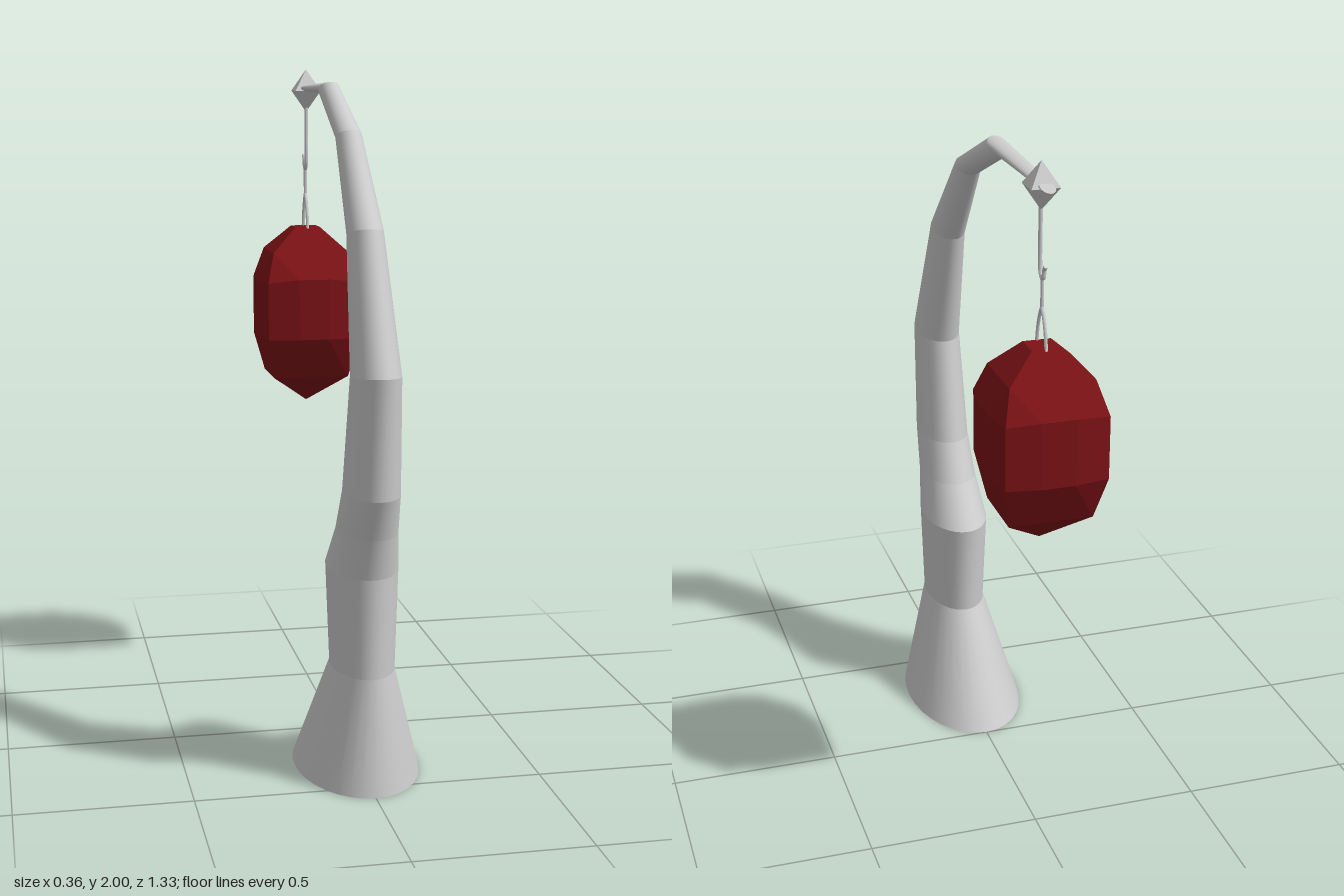
import * as THREE from 'three';
import { ConvexGeometry } from 'three/addons/geometries/ConvexGeometry.js';

const SIDES = 32;
const grey = new THREE.MeshStandardMaterial({ color: 0xcccccc });
const greyFlat = new THREE.MeshStandardMaterial({ color: 0xcccccc, flatShading: true });
const red = new THREE.MeshStandardMaterial({ color: 0x7c1216, flatShading: true });

// Post sections: front edge z, y, back edge z, y, half width
const RINGS = [
  [0.58, 0, 0, 0, 0.18],
  [0.535, 0.33, 0.225, 0.33, 0.09],
  [0.545, 0.62, 0.205, 0.62, 0.1],
  [0.58, 0.74, 0.31, 0.74, 0.085],
  [0.63, 0.86, 0.375, 0.86, 0.078],
  [0.665, 1.2, 0.445, 1.18, 0.068],
  [0.485, 1.58, 0.335, 1.55, 0.05],
  [0.23, 1.835, 0.14, 1.8, 0.037],
  [-0.065, 1.965, -0.165, 1.93, 0.03],
  [-0.5, 1.95, -0.565, 1.933, 0.02],
];

// Points of one elliptical section
function ringPoints([z1, y1, z2, y2, w]) {
  const pts = [];
  for (let i = 0; i < SIDES; i++) {
    const t = (i / SIDES) * Math.PI * 2;
    const c = Math.cos(t) / 2;
    pts.push((Math.sin(t) * w), (y1 + y2) / 2 + c * (y1 - y2), (z1 + z2) / 2 + c * (z1 - z2));
  }
  return pts;
}

// Smooth around each section, with hard edges between sections and at the caps
function postGeometry() {
  const pos = [], index = [];
  for (let s = 0; s < RINGS.length - 1; s++) {
    const base = pos.length / 3;
    pos.push(...ringPoints(RINGS[s]), ...ringPoints(RINGS[s + 1]));
    for (let i = 0; i < SIDES; i++) {
      const a = base + i, b = base + ((i + 1) % SIDES);
      index.push(a, b, b + SIDES, a, b + SIDES, a + SIDES);
    }
  }
  for (const [ring, top] of [[RINGS[0], false], [RINGS[RINGS.length - 1], true]]) {
    const base = pos.length / 3;
    pos.push(...ringPoints(ring));
    for (let i = 1; i < SIDES - 1; i++) {
      if (top) index.push(base, base + i, base + i + 1);
      else index.push(base, base + i + 1, base + i);
    }
  }
  const geo = new THREE.BufferGeometry();
  geo.setAttribute('position', new THREE.Float32BufferAttribute(pos, 3));
  geo.setIndex(index);
  geo.computeVertexNormals();
  return geo;
}

// Faceted lantern, one quarter of its corners mirrored over x and z
function lanternGeometry() {
  const quarter = [
    [0.04, 1.505, 0.04],
    [0.12, 1.43, 0.1],
    [0.163, 1.34, 0.05], [0.05, 1.35, 0.165],
    [0.145, 1.34, 0.148], [0.145, 1.16, 0.148],
    [0.163, 1.16, 0.045], [0.045, 1.16, 0.165],
    [0.12, 1.03, 0.1],
  ];
  const pts = [new THREE.Vector3(0, 0.94, 0)];
  for (const [x, y, z] of quarter)
    for (const sx of [1, -1])
      for (const sz of [1, -1]) pts.push(new THREE.Vector3(x * sx, y, z * sz));
  return new ConvexGeometry(pts);
}

// Thin wire through [x, y, z] points
function wire(points, radius = 0.006) {
  const curve = new THREE.CatmullRomCurve3(points.map((p) => new THREE.Vector3(...p)), false, 'centripetal');
  return new THREE.TubeGeometry(curve, 24, radius, 8);
}

export function createModel() {
  const model = new THREE.Group();
  model.name = 'hangingLanternPost';
  const add = (name, geo, mat) => {
    const mesh = new THREE.Mesh(geo, mat);
    mesh.name = name;
    model.add(mesh);
    return mesh;
  };

  add('curvedPost', postGeometry(), grey);

  // Four-sided finial through the arm, its sides square to the axes
  const finial = new THREE.OctahedronGeometry(1, 0);
  finial.rotateY(Math.PI / 4).scale(0.04 * Math.SQRT2, 0.066, 0.04 * Math.SQRT2);
  add('finial', finial, greyFlat).position.set(0, 1.934, -0.483);

  // Hook, hanging stem and the two lantern wires
  add('hook', wire([
    [0, 1.89, -0.48], [0, 1.8, -0.48], [0, 1.73, -0.48], [0, 1.7, -0.486],
    [0, 1.688, -0.5], [0, 1.698, -0.513], [0, 1.715, -0.514], [0, 1.73, -0.528],
  ]), grey);
  add('lanternStem', wire([[0, 1.7, -0.5], [0, 1.6, -0.5]], 0.005), grey);
  for (const s of [1, -1])
    add(s > 0 ? 'frontWire' : 'backWire', wire([
      [0, 1.61, -0.5], [0, 1.59, -0.5 + s * 0.014], [0, 1.55, -0.5 + s * 0.03], [0, 1.5, -0.5 + s * 0.04],
    ], 0.005), grey);

  add('lantern', lanternGeometry(), red).position.z = -0.5;
  return model;
}
